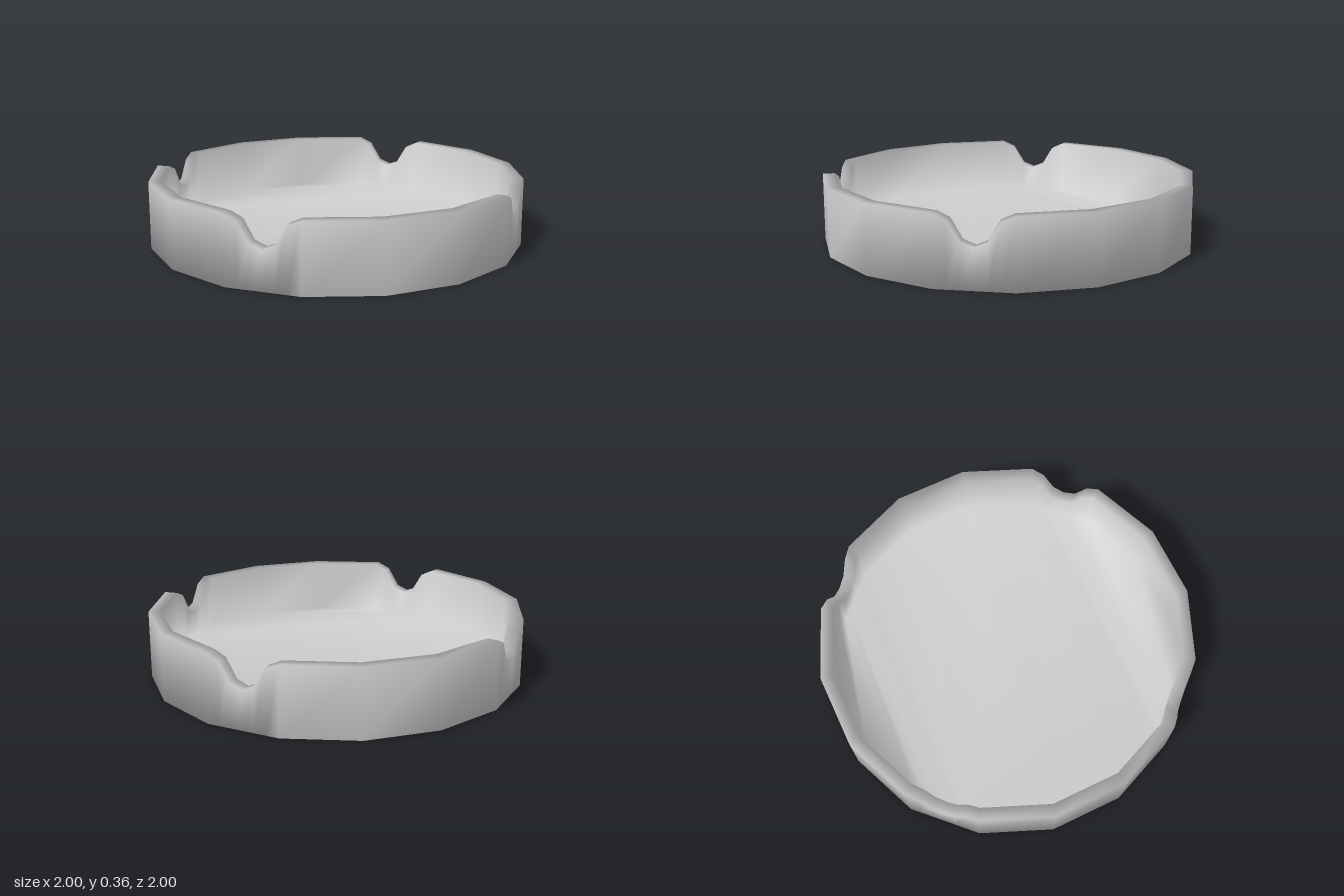
import * as THREE from 'three';

const SIDES = 16, HEIGHT = 0.36, FLOOR = 0.07, OUTER = 1, INNER = 0.935;

// Notch outline along one side of the dish: [fraction of the side, rim height]
const NOTCH = [[0.17, 0.33], [0.33, 0.23], [0.5, 0.205], [0.66, 0.23], [0.82, 0.33]];

// Corner of the polygon on a unit circle, starting at the front and turning to +x
function corner(k) {
  const a = (k / SIDES) * Math.PI * 2;
  return new THREE.Vector2(Math.sin(a), Math.cos(a));
}

// Plan points with rim heights; every fourth side carries a notch
function rimPoints() {
  const points = [];
  for (let k = 0; k < SIDES; k++) {
    points.push({ p: corner(k), top: HEIGHT });
    if (k % 4 === 0) {
      for (const [t, top] of NOTCH) points.push({ p: corner(k).lerp(corner(k + 1), t), top });
    }
  }
  return points;
}

function dishGeometry() {
  const points = rimPoints(), n = points.length;
  const positions = [], index = [];

  // Cross-section at each point: outer foot, outer rim, inner rim, inner floor
  for (const { p, top } of points) {
    for (const [r, y] of [[OUTER, 0], [OUTER, top], [INNER, top], [INNER, FLOOR]]) {
      positions.push(p.x * r, y, p.y * r);
    }
  }

  // Outer wall, rim and inner wall
  for (let i = 0; i < n; i++) {
    const j = (i + 1) % n;
    for (let s = 0; s < 3; s++) {
      const a = i * 4 + s, b = j * 4 + s;
      index.push(a, b, b + 1, a, b + 1, a + 1);
    }
  }

  // Floor and underside, filled by a zigzag strip that starts at a plain corner
  const start = 7;
  const cap = (a, b, c) => {
    const [i, j, k] = [a, b, c].map((v) => ((v + start) % n) * 4);
    index.push(i + 3, j + 3, k + 3, k, j, i);
  };
  for (let lo = 0, hi = n - 1; lo + 1 < hi; lo++, hi--) {
    cap(lo, lo + 1, hi);
    if (lo + 1 < hi - 1) cap(lo + 1, hi - 1, hi);
  }

  const geometry = new THREE.BufferGeometry();
  geometry.setAttribute('position', new THREE.Float32BufferAttribute(positions, 3));
  geometry.setIndex(index);
  geometry.computeVertexNormals();
  return geometry;
}

export function createModel() {
  const group = new THREE.Group();
  group.name = 'ashtray';
  const dish = new THREE.Mesh(dishGeometry(), new THREE.MeshStandardMaterial({ color: 0xcccccc }));
  dish.name = 'notchedDish';
  group.add(dish);
  return group;
}
